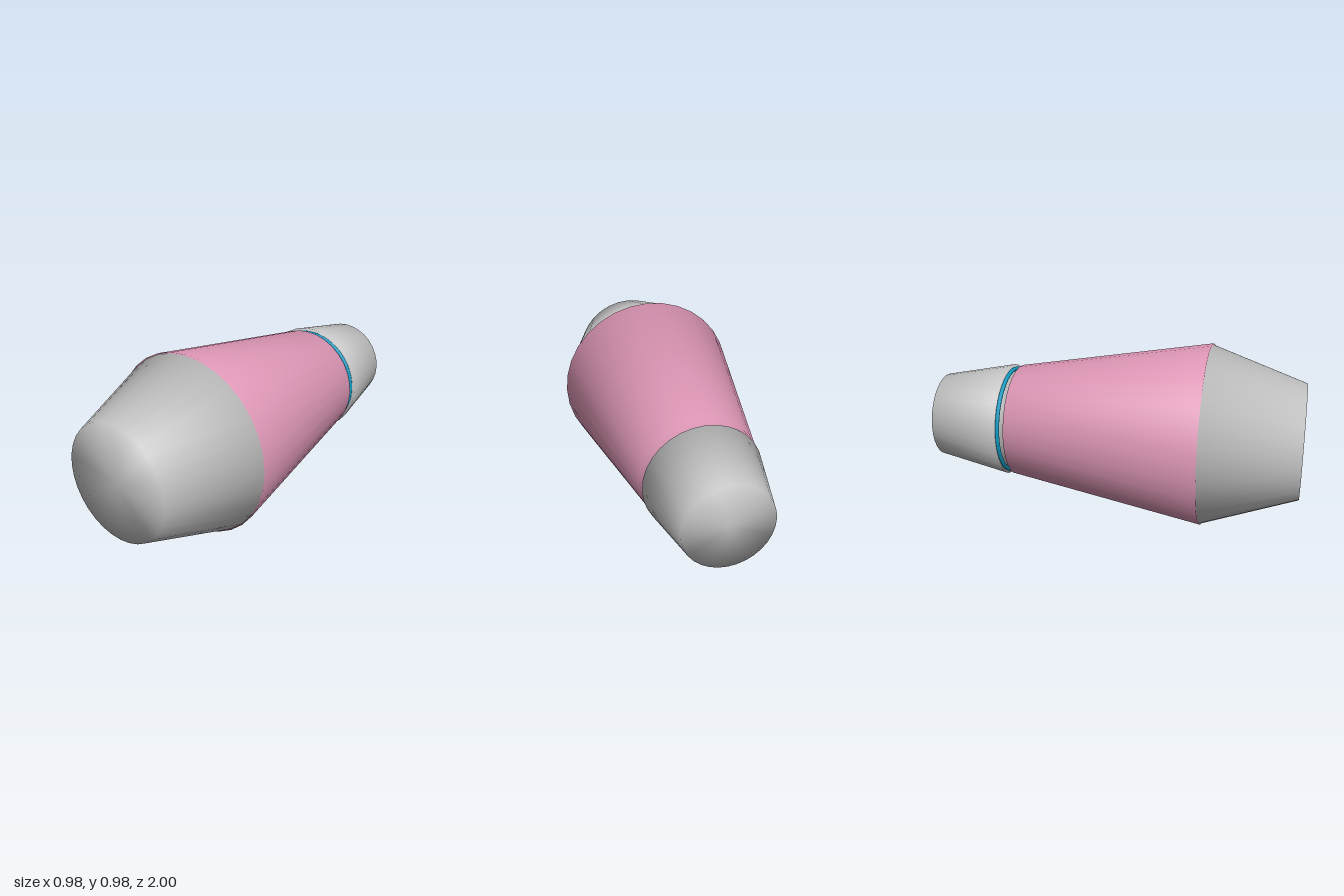
import * as THREE from 'three';
import { mergeVertices } from 'three/addons/utils/BufferGeometryUtils.js';

const SIDES = 32;
const AXIS_Y = 0.491;

const material = (name, color) => {
  const m = new THREE.MeshStandardMaterial({ color });
  m.name = name;
  return m;
};

// Capped tapered drum along z, with normals smoothed across its rims
function drum(name, mat, zBack, rBack, zFront, rFront) {
  let geo = new THREE.CylinderGeometry(rFront, rBack, zFront - zBack, SIDES);
  geo.deleteAttribute('normal');
  geo.deleteAttribute('uv');
  geo = mergeVertices(geo, 1e-4);
  geo.rotateX(Math.PI / 2);
  geo.computeVertexNormals();
  const mesh = new THREE.Mesh(geo, mat);
  mesh.name = name;
  mesh.position.set(0, AXIS_Y, (zBack + zFront) / 2);
  return mesh;
}

export function createModel() {
  const group = new THREE.Group();
  group.name = 'taperedCapsule';

  const gray = material('lightGray', 0xc2c2c2);
  const pink = material('pink', 0xdb95b4);
  const blue = material('blue', 0x1299c0);

  // Nose, main body and tail
  group.add(
    drum('nose', gray, 0.49, 0.485, 1, 0.309),
    drum('body', pink, -0.56, 0.308, 0.495, 0.489),
    drum('tail', gray, -1, 0.23, -0.61, 0.309)
  );

  // Thin ring in the gap ahead of the tail
  const ring = new THREE.Mesh(new THREE.TorusGeometry(0.285, 0.011, 10, 48), blue);
  ring.name = 'ring';
  ring.position.set(0, AXIS_Y, -0.6);
  group.add(ring);

  return group;
}
